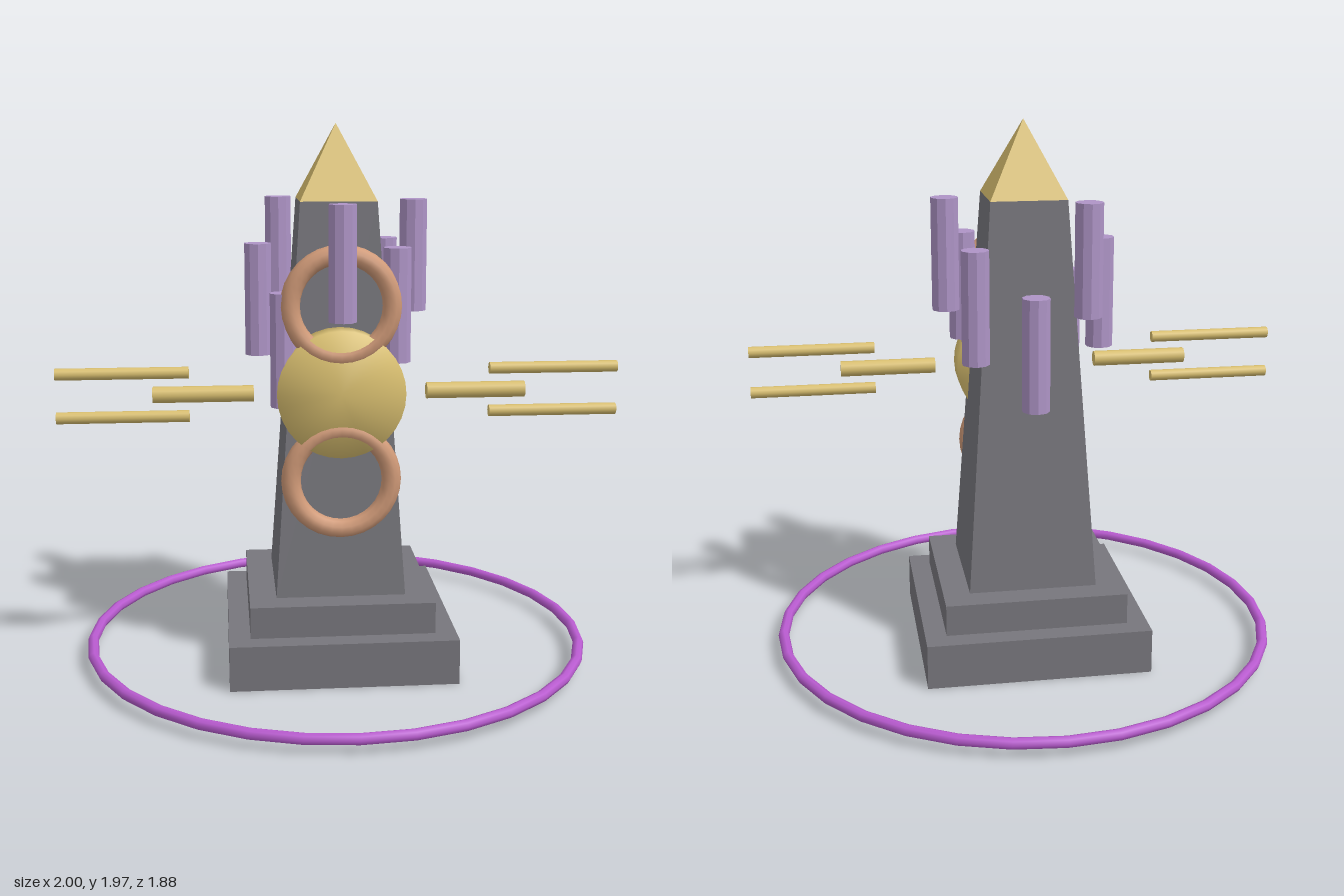
import * as THREE from 'three';
import { mergeVertices } from 'three/addons/utils/BufferGeometryUtils.js';

const material = (color, flatShading = false) => new THREE.MeshStandardMaterial({ color, flatShading });

export function createModel() {
  const model = new THREE.Group();
  const stone = material(0x77767c, true);
  const gold = material(0xd9bf70);
  const goldFlat = material(0xd9bf70, true);
  const copper = material(0xd09a78);
  const lilac = material(0xae94c6, true);
  const violet = material(0xb95bd0);

  const add = (name, geometry, mat, x = 0, y = 0, z = 0) => {
    const mesh = new THREE.Mesh(geometry, mat);
    mesh.name = name;
    mesh.position.set(x, y, z);
    model.add(mesh);
    return mesh;
  };

  // Four-sided taper given by half widths, with faces square to the axes
  const taper = (top, bottom, height) =>
    new THREE.CylinderGeometry(top * Math.SQRT2, bottom * Math.SQRT2, height, 4).rotateY(Math.PI / 4);

  // Stepped base, shaft and pointed cap
  add('basePlinth', new THREE.BoxGeometry(0.82, 0.165, 0.82), stone, 0, 0.0825, 0);
  add('baseStep', new THREE.BoxGeometry(0.666, 0.115, 0.666), stone, 0, 0.2225, 0);
  add('shaft', taper(0.137, 0.235, 1.42), stone, 0, 0.99, 0);
  add('pyramidCap', new THREE.ConeGeometry(0.137 * Math.SQRT2, 0.27, 4).rotateY(Math.PI / 4), goldFlat, 0, 1.835, 0);

  // Ground ring
  add('groundRing', new THREE.TorusGeometry(0.92, 0.02, 8, 32).rotateX(Math.PI / 2), violet, 0, 0.05, 0);

  // Front disc with softly shaded rim
  let disc = new THREE.CylinderGeometry(0.228, 0.228, 0.13, 32).rotateX(Math.PI / 2);
  disc.deleteAttribute('normal');
  disc.deleteAttribute('uv');
  disc = mergeVertices(disc);
  disc.computeVertexNormals();
  add('frontDisc', disc, gold, 0, 1.033, 0.2);

  // Rings above and below the disc
  for (const [name, y] of [['upperRing', 1.345], ['lowerRing', 0.72]]) {
    add(name, new THREE.TorusGeometry(0.18, 0.035, 10, 32), copper, 0, y, 0.237);
  }

  // Side rods: one thick inner and two thin outer per side
  const rod = (radius, length) => new THREE.CylinderGeometry(radius, radius, length, 10).rotateZ(Math.PI / 2);
  for (const side of [1, -1]) {
    const label = side > 0 ? 'left' : 'right';
    add(`${label}InnerRod`, rod(0.029, 0.355), gold, side * 0.4855, 1.033, 0.2);
    for (const dy of [0.078, -0.078]) {
      add(`${label}OuterRod`, rod(0.021, 0.465), gold, side * 0.7675, 1.033 + dy, 0.2);
    }
  }

  // Eight floating pillars circling the shaft at three repeating heights
  const pillar = new THREE.CylinderGeometry(0.05, 0.05, 0.405, 10);
  for (let i = 0; i < 8; i++) {
    const a = (i * Math.PI) / 4;
    add('floatingPillar', pillar, lilac, 0.283 * Math.cos(a), 1.498 - 0.156 * (i % 3), -0.283 * Math.sin(a));
  }

  return model;
}
